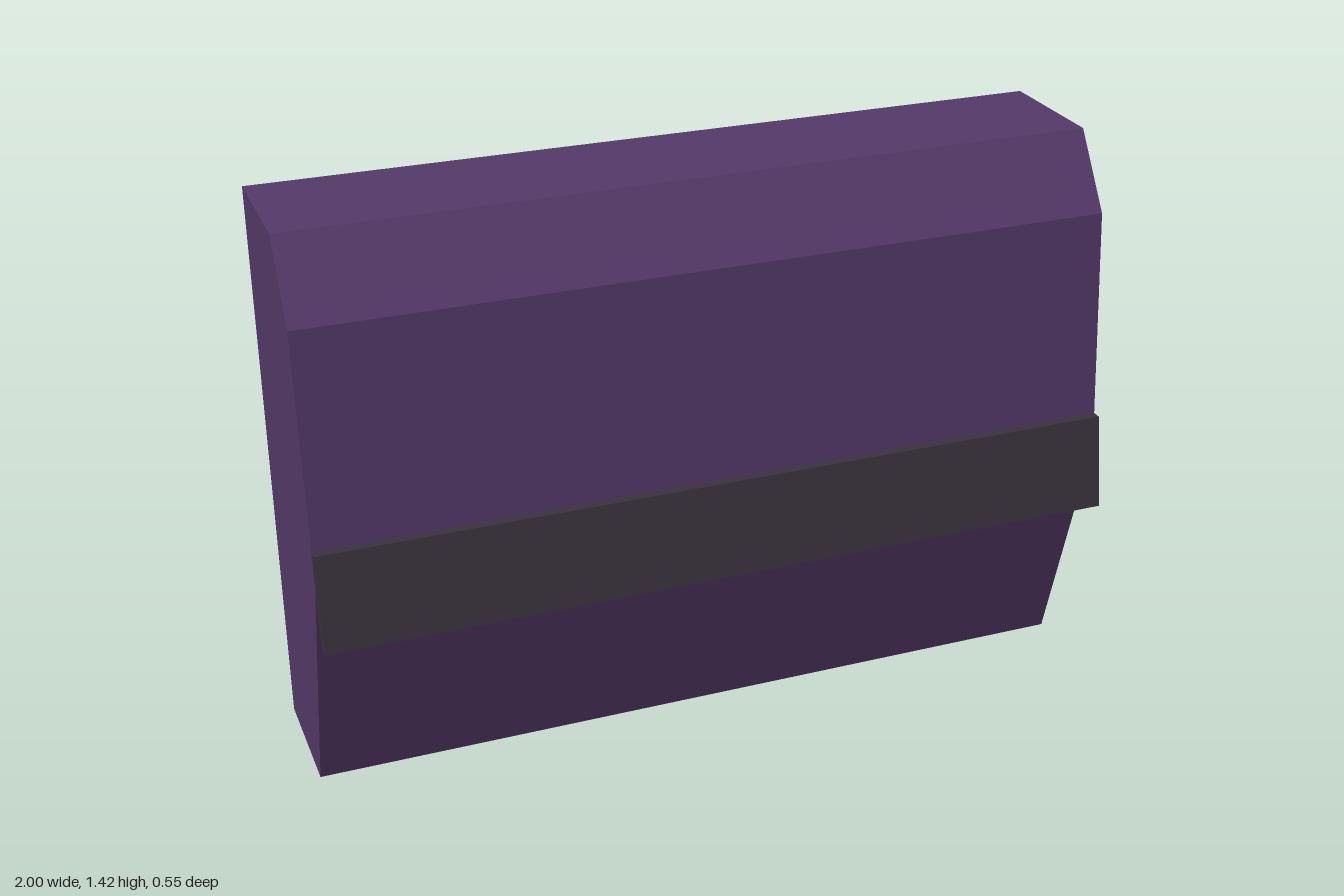
import * as THREE from 'three';

const WIDTH = 2;

// Sweep a side profile of [z, y] points along the full width in x
function sweepProfile(name, points, material) {
  const shape = new THREE.Shape(points.map(([z, y]) => new THREE.Vector2(-z, y)));
  const geometry = new THREE.ExtrudeGeometry(shape, { depth: WIDTH, bevelEnabled: false });
  geometry.translate(0, 0, -WIDTH / 2);
  geometry.rotateY(Math.PI / 2);
  const mesh = new THREE.Mesh(geometry, material);
  mesh.name = name;
  return mesh;
}

export function createModel() {
  const purple = new THREE.MeshStandardMaterial({ color: 0x553969 });
  purple.name = 'purple';
  const charcoal = new THREE.MeshStandardMaterial({ color: 0x3a323e });
  charcoal.name = 'charcoal';

  const model = new THREE.Group();
  model.name = 'panelBlock';

  // Body: flat back, chamfered top edge, front bulging at mid height
  model.add(sweepProfile('body', [
    [-0.275, 0], [0.045, 0], [0.22, 0.63], [0.165, 1.24], [0.045, 1.42], [-0.275, 1.42],
  ], purple));

  // Slanted strip across the front, its back seated against the bulge
  model.add(sweepProfile('frontStrip', [
    [0.237, 0.485], [0.275, 0.485], [0.235, 0.72], [0.212, 0.72], [0.22, 0.63], [0.215, 0.612],
  ], charcoal));

  return model;
}
